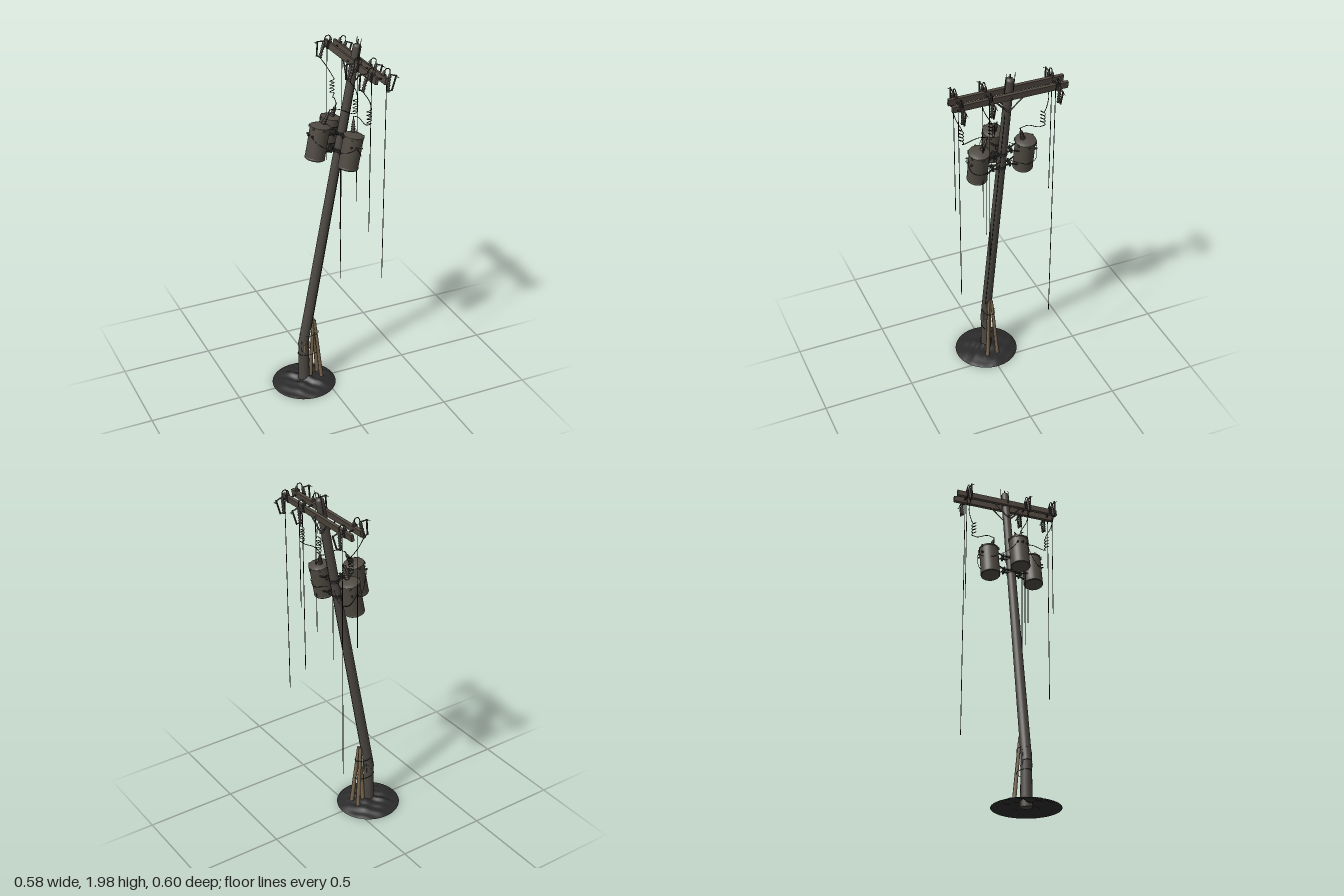
import * as THREE from 'three';

const mat = (name, color) => Object.assign(new THREE.MeshStandardMaterial({ color }), { name });
const V = (x, y, z) => new THREE.Vector3(x, y, z);
const UP = V(0, 1, 0);
const ARM = 1.622; // crossarm height along the leaning pole

export function createModel() {
  const M = {
    pole: mat('weathered pole', 0x4c4843),
    arm: mat('crossarm timber', 0x50483f),
    tank: mat('tank metal', 0x4f4a42),
    steel: mat('dark steel', 0x2f2e2d),
    zinc: mat('galvanized steel', 0x565350),
    ceramic: mat('insulator', 0x35302c),
    wire: mat('black wire', 0x1a1a1a),
    soil: mat('soil', 0x2c2b2b),
    stake: mat('raw wood', 0x7d6b52),
  };
  M.soil.side = THREE.DoubleSide;
  const root = new THREE.Group();
  root.name = 'leaningUtilityPole';

  const add = (parent, name, geo, m, x = 0, y = 0, z = 0) => {
    const mesh = new THREE.Mesh(geo, m);
    mesh.name = name;
    mesh.position.set(x, y, z);
    parent.add(mesh);
    return mesh;
  };
  const box = (p, n, w, h, d, m, x, y, z) => add(p, n, new THREE.BoxGeometry(w, h, d), m, x, y, z);
  // round bar between two points, optionally tapered
  const rod = (p, n, a, b, r0, r1, m, sides = 8) => {
    const mesh = add(p, n, new THREE.CylinderGeometry(r1, r0, a.distanceTo(b), sides), m);
    mesh.position.copy(a).lerp(b, 0.5);
    mesh.quaternion.setFromUnitVectors(UP, b.clone().sub(a).normalize());
    return mesh;
  };
  const cable = (p, n, pts, r = 0.0018, seg = 30) =>
    add(p, n, new THREE.TubeGeometry(new THREE.CatmullRomCurve3(pts), seg, r, 5), M.wire);
  // ribbed insulator: lathe with alternating sheds
  const insulator = (p, n, a, b, r0, r1, sheds) => {
    const L = a.distanceTo(b), pts = [new THREE.Vector2(0, 0)];
    for (let i = 0; i < sheds; i++) {
      const y = L * i / sheds, r = r0 + (r1 - r0) * i / sheds, h = L / sheds;
      pts.push(new THREE.Vector2(r, y), new THREE.Vector2(r, y + h * 0.3), new THREE.Vector2(r * 0.6, y + h * 0.6));
    }
    pts.push(new THREE.Vector2(r1 * 0.6, L), new THREE.Vector2(0, L));
    const mesh = add(p, n, new THREE.LatheGeometry(pts, 12), M.ceramic);
    mesh.position.copy(a);
    mesh.quaternion.setFromUnitVectors(UP, b.clone().sub(a).normalize());
  };

  // hollow mound of disturbed, lumpy soil
  const prof = [];
  for (let i = 0; i <= 16; i++) {
    const t = i / 16;
    prof.push(new THREE.Vector2(0.176 * (1 - t), 0.01 + 0.037 * Math.pow(t, 0.65)));
  }
  const soil = new THREE.LatheGeometry(prof, 56);
  const sp = soil.attributes.position;
  for (let i = 0; i < sp.count; i++) {
    const x = sp.getX(i), y = sp.getY(i), z = sp.getZ(i);
    const n = Math.sin(x * 48 + 1) * Math.cos(z * 41) + 0.6 * Math.sin(x * 85 - z * 70 + 2);
    sp.setY(i, y + (y - 0.01) * (n * 0.32 + x * 1.5));
  }
  soil.computeVertexNormals();
  add(root, 'soilMound', soil, M.soil, -0.113, 0, 0);

  // broken stub in the ground, with splinters at the break
  add(root, 'poleStub', new THREE.CylinderGeometry(0.028, 0.031, 0.258, 16), M.pole, -0.114, 0.141, 0);
  for (let i = 0; i < 9; i++) {
    const a = i * 2.4, c = Math.cos(a) * 0.026, s = Math.sin(a) * 0.026;
    rod(root, 'splinter', V(-0.114 + c, 0.22, s), V(-0.112 + c * 1.15, 0.275 + 0.012 * (i % 4), s * 1.1), 0.005, 0.0005, i % 3 ? M.pole : M.stake, 5);
  }
  // propping stakes and their lashings
  const stake = (a, b) => rod(root, 'propStake', a, b, 0.012, 0.009, M.stake, 4).rotateY(Math.PI / 4);
  for (const s of [-1, 1]) stake(V(-0.021, 0.035, s * 0.03), V(-0.053, 0.4, s * 0.008));
  stake(V(-0.076, 0.035, 0), V(-0.056, 0.395, 0));
  for (const y of [0.2, 0.32]) {
    const lash = add(root, 'lashing', new THREE.TorusGeometry(1, 0.035, 5, 28), M.wire, y > 0.3 ? -0.08 : -0.087, y, 0);
    lash.rotation.x = Math.PI / 2 + 0.06;
    lash.scale.set(y > 0.3 ? 0.053 : 0.06, 0.033, 0.04);
  }

  // everything above the break leans together
  const lean = new THREE.Group();
  lean.name = 'leaningAssembly';
  lean.position.set(-0.115, 0.27, 0);
  lean.rotation.z = -Math.atan2(0.305, 1.68);
  root.add(lean);
  lean.updateMatrix();
  const W = (x, y, z) => V(x, y, z).applyMatrix4(lean.matrix);

  add(lean, 'pole', new THREE.CylinderGeometry(0.022, 0.028, 1.72, 18), M.pole, 0, 0.837, 0);
  const dome = add(lean, 'poleCap', new THREE.SphereGeometry(0.022, 18, 8, 0, Math.PI * 2, 0, Math.PI / 2), M.pole, 0, 1.697, 0);
  dome.scale.y = 0.8;
  rod(lean, 'capPin', V(0, 1.71, 0), V(0, 1.735, 0), 0.004, 0.003, M.steel);
  for (const s of [-1, 1]) {
    rod(lean, 'topPin', V(0.004, 1.63, s * 0.023), V(0.004, 1.745, s * 0.023), 0.0025, 0.0015, M.steel);
  }

  // twin crossarms with V braces
  for (const s of [-1, 1]) {
    box(lean, 'crossarm', 0.016, 0.035, 0.6, M.arm, s * 0.027 + 0.002, ARM, 0);
    for (const t of [-1, 1]) {
      rod(lean, 'armBrace', V(s * 0.024, 1.525, t * 0.004), V(s * 0.022, ARM - 0.01, t * 0.085), 0.0045, 0.0045, M.zinc, 4);
    }
  }
  rod(lean, 'throughBolt', V(-0.043, ARM, 0), V(0.045, ARM, 0), 0.005, 0.005, M.zinc);
  rod(lean, 'braceBolt', V(-0.032, 1.527, 0), V(0.032, 1.527, 0), 0.005, 0.005, M.zinc);

  // fuse cutouts on both sides of the arms
  for (const z of [-0.24, 0.11, 0.26]) {
    rod(lean, 'armTie', V(-0.04, ARM, z), V(0.04, ARM, z), 0.004, 0.004, M.steel);
    for (const s of [-1, 1]) {
      const g = new THREE.Group();
      g.name = 'fuseCutout';
      g.position.set(s * 0.036, ARM + 0.003, z);
      lean.add(g);
      const P = (x, y, zz = 0) => V(s * x, y, zz);
      box(g, 'armClamp', 0.008, 0.042, 0.014, M.steel, 0, 0, 0);
      rod(g, 'bracket', P(0, 0), P(0.03, -0.02), 0.004, 0.004, M.steel);
      insulator(g, 'cutoutInsulator', P(0.033, -0.07), P(0.025, 0.022), 0.009, 0.009, 6);
      rod(g, 'upperContact', P(0.025, 0.02), P(0.066, 0.014), 0.004, 0.003, M.zinc);
      rod(g, 'lowerContact', P(0.033, -0.066), P(0.056, -0.06), 0.004, 0.003, M.zinc);
      rod(g, 'fuseTube', P(0.054, -0.064), P(0.063, 0.018), 0.0045, 0.0045, M.ceramic);
      for (const t of [-1, 1]) rod(g, 'contactProng', P(0.058, 0.012), P(0.077, 0.006, t * 0.007), 0.002, 0.0015, M.zinc, 5);
      cable(g, 'jumperLoop', [P(0.026, 0.022), P(0.02, 0.046), P(0, 0.05), P(-0.009, 0.018)], 0.0025, 14);
      insulator(g, 'pinInsulator', P(-0.009, 0.016), P(-0.009, 0.042), 0.009, 0.006, 2);
    }
  }

  // three tanks around the pole
  const tankProf = [[0, -0.095], [0.05, -0.095], [0.053, -0.092], [0.053, -0.085], [0.052, -0.083], [0.052, 0.076],
    [0.0545, 0.077], [0.0545, 0.084], [0.052, 0.086], [0.035, 0.094], [0, 0.098]].map(q => new THREE.Vector2(...q));
  // doubled corner points keep the rim edges crisp
  const crisp = tankProf.flatMap((p, i) => (i > 0 && i < 9 ? [p, p.clone().addScalar(1e-5)] : [p]));
  const tankGeo = new THREE.LatheGeometry(crisp, 28);
  const tanks = [[-0.127, 0, 0], [0.002, 0.128, Math.PI / 2], [-0.01, -0.128, -Math.PI / 2]];
  for (const [x, z, turn] of tanks) {
    const g = new THREE.Group();
    g.name = 'transformer';
    g.position.set(x, 1.19, z);
    g.rotation.y = turn;
    lean.add(g);
    add(g, 'tank', tankGeo, M.tank);
    insulator(g, 'tankBushing', V(0.012, 0.088, 0), V(0.033, 0.155, 0), 0.014, 0.007, 6);
    rod(g, 'bushingTerminal', V(0.033, 0.155, 0), V(0.038, 0.172, 0), 0.003, 0.003, M.steel);
    for (let i = 0; i < 6; i++) {
      const a = i * Math.PI / 3 + 0.5;
      const lug = box(g, 'lidClamp', 0.005, 0.014, 0.009, M.tank, Math.cos(a) * 0.056, 0.078, -Math.sin(a) * 0.056);
      lug.rotation.y = a;
    }
    // low-voltage terminals
    for (const a of [-0.5, 0, 0.5]) {
      const c = -Math.cos(a), s = Math.sin(a);
      rod(g, 'sideTerminal', V(c * 0.05, 0.035, s * 0.05), V(c * 0.064, 0.035, s * 0.064), 0.006, 0.004, M.ceramic);
    }
    // hanger brackets
    for (const y of [0.045, -0.045]) {
      for (const s of [-1, 1]) {
        rod(g, 'hangerArm', V(0.042, y, s * 0.03), V(0.075, y, s * 0.013), 0.004, 0.004, M.steel, 6);
        rod(g, 'hangerLink', V(0.075, y, s * 0.013), V(0.108, y, s * 0.013), 0.005, 0.005, M.steel, 6);
      }
      box(g, 'hangerPlate', 0.008, 0.026, 0.036, M.steel, 0.08, y, 0);
    }
  }
  for (const y of [1.235, 1.145]) add(lean, 'poleBand', new THREE.CylinderGeometry(0.027, 0.027, 0.018, 18), M.steel, 0, y, 0);

  // low-voltage leads draped between tanks
  for (const s of [-1, 1]) {
    cable(lean, 'tankLead', [V(-0.182, 1.225, s * 0.026), V(-0.15, 1.195, s * 0.052), V(-0.1, 1.18, s * 0.1),
      V(-0.055, 1.185, s * 0.145), V(-0.028, 1.205, s * 0.184), V(0, 1.225, s * 0.19)], 0.0014);
    cable(lean, 'poleLead', [V(0, 1.225, s * 0.19), V(0.04, 1.18, s * 0.172), V(0.057, 1.17, s * 0.12), V(0.03, 1.2, s * 0.03)], 0.0014);
  }

  // coiled droppers from cutouts to bushings
  const dropper = (z0, zc, end, side) => {
    const start = W(-0.069, ARM - 0.067, z0), c = V(0.145, 1.7, zc), pts = [start, V(0.13, 1.76, z0 * 0.9 + zc * 0.1)];
    for (let i = 0; i <= 32; i++) {
      const a = i / 8 * Math.PI * 2;
      pts.push(V(c.x + 0.012 * Math.cos(a), c.y - i * 0.0024 + 0.005 * Math.sin(a), c.z + 0.012 * Math.sin(a)));
    }
    pts.push(V(0.14, 1.61, zc - side * 0.02), end.clone().lerp(V(0.14, 1.645, zc), 0.35), end);
    cable(root, 'coiledDropper', pts, 0.002, 200);
  };
  dropper(0.26, 0.235, W(0.002, 1.362, 0.09), 1);
  dropper(0.11, 0.08, W(-0.089, 1.362, 0), 1);
  dropper(-0.24, -0.2, W(-0.01, 1.362, -0.09), -1);

  // severed lines hanging straight down: x, z, lower end
  const lines = [[0.215, 0.275, 0.745], [0.215, 0.115, 0.94], [0.215, -0.23, 0.47],
    [0.137, 0.268, 1.22], [0.137, -0.247, 1.22], [0.137, 0.118, 1.14], [0.068, 0.072, 0.97]];
  for (const [x, z, y] of lines) {
    rod(root, 'hangingWire', V(x, y, z), V(x, x < 0.1 ? 1.42 : 1.86, z), 0.002, 0.002, M.wire, 5);
  }
  // ground wire stapled along the pole
  rod(lean, 'groundWire', V(0.021, 0.1, 0.019), V(0.017, 1.5, 0.016), 0.002, 0.002, M.wire, 5);
  return root;
}
